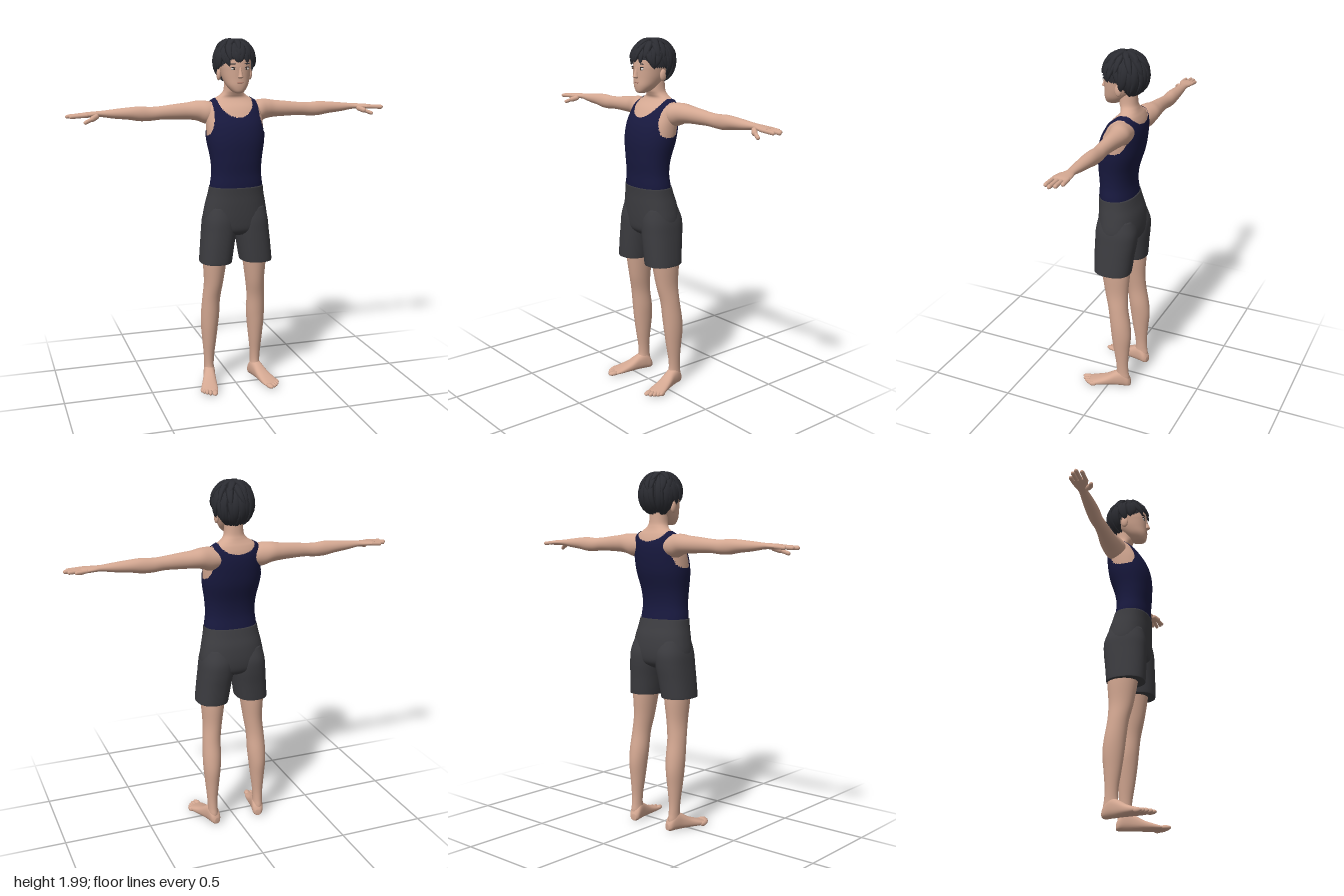
import * as THREE from 'three';

const mat = (name, color, side = THREE.FrontSide) => {
  const m = new THREE.MeshStandardMaterial({ color, side });
  m.name = name;
  return m;
};

// Smooth skin through rings [t, aMin, aMax, bMin, bMax] along axis k (0 x, 1 y, 2 z);
// a and b are the next two axes in cyclic order. keep(x, y, z) can drop faces.
function loft(k, rings, { n = 32, sub = 5, p = 2, keep = null } = {}) {
  const rows = (rings.length - 1) * sub, pos = [], idx = [];
  const point = (t, a, b) => {
    const v = [0, 0, 0];
    v[k] = t; v[(k + 1) % 3] = a; v[(k + 2) % 3] = b;
    pos.push(...v);
  };
  const pow = c => Math.sign(c) * Math.abs(c) ** (2 / p);
  const at = i => rings[Math.max(0, Math.min(rings.length - 1, i))];
  const sample = row => {
    const i = Math.min(Math.floor(row / sub), rings.length - 2), u = row / sub - i;
    return rings[0].map((_, c) => {
      const [p0, p1, p2, p3] = [-1, 0, 1, 2].map(d => at(i + d)[c]);
      return p1 + 0.5 * u * (p2 - p0 + u * (2 * p0 - 5 * p1 + 4 * p2 - p3 + u * (3 * (p1 - p2) + p3 - p0)));
    });
  };
  for (let r = 0; r <= rows; r++) {
    const [t, a0, a1, b0, b1] = sample(r);
    for (let j = 0; j < n; j++) {
      const g = j / n * Math.PI * 2;
      point(t, (a0 + a1) / 2 + (a1 - a0) / 2 * pow(Math.cos(g)), (b0 + b1) / 2 + (b1 - b0) / 2 * pow(Math.sin(g)));
    }
  }
  for (let r = 0; r < rows; r++) for (let j = 0; j < n; j++) {
    const a = r * n + j, b = r * n + (j + 1) % n;
    idx.push(a, b, b + n, a, b + n, a + n);
  }
  for (const r of [0, rows]) {
    const [t, a0, a1, b0, b1] = sample(r), c = pos.length / 3;
    point(t, (a0 + a1) / 2, (b0 + b1) / 2);
    for (let j = 0; j < n; j++) {
      const a = r * n + j, b = r * n + (j + 1) % n;
      idx.push(c, ...(r ? [a, b] : [b, a]));
    }
  }
  const geo = new THREE.BufferGeometry();
  geo.setAttribute('position', new THREE.Float32BufferAttribute(pos, 3));
  geo.setIndex(idx);
  geo.computeVertexNormals();
  return keep ? filterFaces(geo, keep) : geo;
}

function filterFaces(geo, keep) {
  const P = geo.attributes.position, old = geo.index.array, out = [];
  for (let i = 0; i < old.length; i += 3) {
    const f = [old[i], old[i + 1], old[i + 2]];
    const mid = g => f.reduce((s, v) => s + P['get' + g](v), 0) / 3;
    if (keep(mid('X'), mid('Y'), mid('Z'))) out.push(...f);
  }
  geo.setIndex(out);
  return geo;
}

const sym = rows => rows.map(([y, z0, z1, w]) => [y, z0, z1, -w, w]);
const blob = (x, y, z, rx, ry, rz) => new THREE.SphereGeometry(1, 16, 12).scale(rx, ry, rz).translate(x, y, z);
const step = (a, b, x) => THREE.MathUtils.smoothstep(x, a, b);

// Rounded rod between two points
function rod(p0, p1, r) {
  const a = new THREE.Vector3(...p0), d = new THREE.Vector3(...p1).sub(a), len = d.length();
  const q = new THREE.Quaternion().setFromUnitVectors(new THREE.Vector3(0, 1, 0), d.clone().normalize());
  return new THREE.CapsuleGeometry(r, len - 2 * r, 5, 10).applyQuaternion(q)
    .translate(...a.addScaledVector(d, 0.5).toArray());
}

// Scalp ellipsoid addressed by azimuth (0 = front) and polar angle
const scalp = (az, po, k = 1) => new THREE.Vector3(
  0.107 * k * Math.sin(po) * Math.sin(az), 1.865 + 0.118 * k * Math.cos(po), -0.032 + 0.12 * k * Math.sin(po) * Math.cos(az));
const hairline = az => {
  const a = Math.abs(Math.atan2(Math.sin(az), Math.cos(az)));
  return 1.45 + 0.35 * step(0.5, 1.2, a) + 0.8 * step(1.5, 2.2, a);
};

// Flat pointed lock of hair lying over the scalp
function lock(az, po0, po1, drift, width, lift) {
  const pos = [], idx = [], rows = 8, n = 6;
  for (let i = 0; i <= rows; i++) {
    const u = i / rows, po = po0 + (po1 - po0) * u, a = az + drift * u * u, k = 1.01 + lift * u;
    const c = scalp(a, po, k), out = scalp(a, po, 2).sub(scalp(a, po)).normalize();
    const down = scalp(a, po + 0.01, k).sub(c).normalize();
    const side = new THREE.Vector3().crossVectors(out, down).normalize();
    const w = width * Math.sqrt(Math.max(0, 1 - u ** 2.2)) * (0.5 + 0.5 * Math.min(1, u * 3));
    for (let j = 0; j < n; j++) {
      const g = j / n * Math.PI * 2;
      pos.push(...c.clone().addScaledVector(side, w * Math.cos(g)).addScaledVector(out, w * 0.4 * Math.sin(g)).toArray());
      const p = i * n + j, q = i * n + (j + 1) % n;
      if (i < rows) idx.push(p, q + n, q, p, p + n, q + n);
    }
  }
  const geo = new THREE.BufferGeometry();
  geo.setAttribute('position', new THREE.Float32BufferAttribute(pos, 3));
  geo.setIndex(idx);
  geo.computeVertexNormals();
  return geo;
}

export function createModel() {
  const model = new THREE.Group();
  const skin = mat('skin', 0xd4a892), navy = mat('navy cloth', 0x18193f, THREE.DoubleSide);
  const grey = mat('grey cloth', 0x3c3c40), hair = mat('hair', 0x2b2c32, THREE.DoubleSide);
  const white = mat('eye white', 0xd8cfc8), brown = mat('iris', 0x4a362c), lip = mat('lips', 0xb07c6c);
  const add = (name, geo, m) => {
    const mesh = new THREE.Mesh(geo, m);
    mesh.name = name;
    model.add(mesh);
  };
  const pair = (name, geo, m) => {
    add(name + 'Left', geo, m);
    const g = geo.clone().scale(-1, 1, 1), i = g.index.array;
    for (let f = 0; f < i.length; f += 3) [i[f], i[f + 1]] = [i[f + 1], i[f]];
    add(name + 'Right', g, m);
  };

  // Torso and neck: y, back z, front z, half width
  const torso = [[1.08, -0.1, 0.08, 0.135], [1.18, -0.09, 0.094, 0.143], [1.26, -0.082, 0.095, 0.135],
    [1.34, -0.092, 0.101, 0.14], [1.44, -0.122, 0.102, 0.157], [1.52, -0.135, 0.086, 0.16],
    [1.58, -0.138, 0.055, 0.157], [1.62, -0.133, 0.028, 0.149], [1.65, -0.123, -0.004, 0.126],
    [1.67, -0.113, -0.017, 0.093], [1.69, -0.105, -0.01, 0.065], [1.72, -0.098, 0, 0.052], [1.8, -0.095, 0, 0.05]];
  add('torso', loft(1, sym(torso), { n: 48, p: 2.2 }), skin);

  // Tank top: the torso grown slightly, with neckline and armholes left open
  const grown = torso.map(([y, b, f, w]) => [y, b - 0.006, f + 0.006, w + 0.006]);
  add('tankTop', loft(1, sym(grown), { n: 128, sub: 9, p: 2.2, keep: (x, y, z) => {
    const u = Math.min(1, Math.abs(x) / 0.1), dip = z > -0.06 ? 0.1 : 0.055;
    const arm = 0.168 - 0.04 * Math.sqrt(Math.min(1, Math.max(0, (y - 1.47) / 0.1)));
    return y > 1.165 && y < 1.668 - dip * Math.sqrt(1 - u * u) && (y < 1.47 || Math.abs(x) < arm);
  } }), navy);

  // Shorts
  add('shortsHips', loft(1, sym([[0.91, -0.08, 0.06, 0.12], [0.94, -0.125, 0.09, 0.17], [1, -0.137, 0.099, 0.184],
    [1.08, -0.13, 0.102, 0.172], [1.14, -0.112, 0.102, 0.159], [1.185, -0.099, 0.104, 0.152]]), { n: 48, p: 2.3 }), grey);
  pair('shortsLeg', loft(1, [[0.75, -0.113, 0.095, 0.03, 0.206], [0.76, -0.116, 0.098, 0.027, 0.208],
    [0.85, -0.126, 0.1, 0.013, 0.2], [0.93, -0.137, 0.1, 0, 0.192], [1, -0.138, 0.098, -0.004, 0.184],
    [1.07, -0.115, 0.085, 0, 0.165]], { p: 2.3 }), grey);

  // Legs: y, back z, front z, inner x, outer x
  pair('leg', loft(1, [[0.02, -0.118, -0.04, 0.115, 0.165], [0.06, -0.121, -0.032, 0.111, 0.17],
    [0.1, -0.115, -0.043, 0.114, 0.169], [0.16, -0.113, -0.04, 0.112, 0.172], [0.25, -0.12, -0.025, 0.102, 0.18],
    [0.34, -0.128, -0.012, 0.092, 0.188], [0.42, -0.122, -0.003, 0.085, 0.19], [0.52, -0.106, 0.01, 0.083, 0.185],
    [0.62, -0.102, 0.034, 0.07, 0.178], [0.74, -0.11, 0.055, 0.053, 0.184], [0.85, -0.11, 0.07, 0.04, 0.185]]), skin);

  // Feet, turned outward
  const place = g => g.rotateY(0.25).translate(0.14, 0, -0.08);
  pair('foot', place(loft(2, [[-0.047, -0.016, 0.016, 0.006, 0.04], [-0.032, -0.029, 0.029, 0, 0.07],
    [0, -0.033, 0.033, 0, 0.105], [0.045, -0.035, 0.034, 0, 0.09], [0.1, -0.041, 0.041, 0, 0.058],
    [0.16, -0.047, 0.049, 0, 0.036], [0.195, -0.045, 0.046, 0.002, 0.025], [0.205, -0.035, 0.03, 0.006, 0.018]], { p: 2.4 })), skin);
  [[-0.029, 0.215, 0.017, 0.032], [-0.004, 0.213, 0.011, 0.027], [0.015, 0.203, 0.011, 0.025],
    [0.031, 0.19, 0.01, 0.024], [0.044, 0.175, 0.009, 0.022]].forEach(([x, z, r, l], i) =>
    pair('toe' + (i + 1), place(blob(x, 0.013, z, r, 0.013, l)), skin));

  // Arms and palms: x, bottom y, top y, back z, front z
  pair('arm', loft(0, [[0.09, 1.53, 1.64, -0.125, -0.01], [0.15, 1.525, 1.652, -0.135, -0.006],
    [0.2, 1.543, 1.653, -0.141, -0.024], [0.25, 1.55, 1.645, -0.136, -0.038], [0.32, 1.553, 1.638, -0.126, -0.045],
    [0.4, 1.555, 1.629, -0.12, -0.05], [0.46, 1.55, 1.626, -0.122, -0.053], [0.52, 1.55, 1.63, -0.122, -0.05],
    [0.58, 1.56, 1.627, -0.12, -0.05], [0.66, 1.569, 1.62, -0.112, -0.054], [0.73, 1.58, 1.613, -0.106, -0.059],
    [0.77, 1.581, 1.611, -0.113, -0.045], [0.815, 1.58, 1.608, -0.117, -0.029], [0.838, 1.585, 1.603, -0.11, -0.035]]), skin);
  [[-0.108, 0.872], [-0.086, 0.905], [-0.063, 0.922], [-0.036, 0.905]].forEach(([z, x], i) =>
    pair('finger' + (i + 1), rod([0.8, 1.595, z * 0.92 - 0.007], [x, 1.589, z], 0.0105), skin));
  pair('thumb', rod([0.75, 1.591, -0.055], [0.795, 1.572, -0.018], 0.015), skin);
  pair('thumbTip', rod([0.78, 1.578, -0.03], [0.832, 1.557, -0.005], 0.0105), skin);

  // Head and face
  add('head', loft(1, sym([[1.7, 0.03, 0.066, 0.015], [1.71, -0.002, 0.079, 0.034], [1.74, -0.045, 0.085, 0.058],
    [1.78, -0.09, 0.085, 0.073], [1.82, -0.115, 0.086, 0.081], [1.85, -0.128, 0.086, 0.085], [1.9, -0.13, 0.078, 0.085],
    [1.945, -0.105, 0.045, 0.066], [1.965, -0.06, 0, 0.03]]), { p: 2.2 }), skin);
  add('nose', loft(1, sym([[1.78, 0.07, 0.088, 0.008], [1.788, 0.07, 0.106, 0.014], [1.8, 0.07, 0.102, 0.011],
    [1.83, 0.07, 0.091, 0.007], [1.845, 0.07, 0.086, 0.005]]), { n: 16 }), skin);
  pair('ear', blob(0.089, 1.797, -0.028, 0.012, 0.032, 0.02).rotateZ(0), skin);
  pair('eye', blob(0.035, 1.832, 0.077, 0.016, 0.007, 0.006), white);
  pair('iris', blob(0.034, 1.832, 0.0805, 0.006, 0.0065, 0.004), brown);
  pair('eyelash', blob(0.036, 1.84, 0.077, 0.018, 0.0025, 0.007), hair);
  pair('eyebrow', blob(0.036, 1.858, 0.077, 0.02, 0.003, 0.006), hair);
  add('mouth', blob(0, 1.758, 0.083, 0.02, 0.004, 0.005), lip);

  // Hair: a cap cut at the hairline, covered with layered locks
  const cap = new THREE.SphereGeometry(1, 64, 48).scale(0.107, 0.118, 0.12).translate(0, 1.865, -0.032);
  add('hairCap', filterFaces(cap, (x, y, z) =>
    Math.acos(THREE.MathUtils.clamp((y - 1.865) / 0.118, -1, 1)) < hairline(Math.atan2(x / 0.107, (z + 0.032) / 0.12))), hair);
  let seed = 7;
  const rnd = () => (seed = (seed * 16807) % 2147483647) / 2147483647;
  const layers = [[0.08, 8, () => 0.95, 0.1], [0.4, 13, () => 1.4, 0.09],
    [0.75, 17, az => hairline(az) - 0.15, 0.07], [0.95, 22, az => hairline(az) + 0.12, 0.05]];
  layers.forEach(([start, count, end, lift], l) => {
    for (let i = 0; i < count; i++) {
      const az = (i + 0.6 * rnd()) / count * Math.PI * 2;
      add(`hairLock${l + 1}_${i + 1}`, lock(az, start, end(az) + 0.2 * (rnd() - 0.5), 0.5 * (rnd() - 0.4),
        0.019 + 0.008 * rnd(), lift * (0.5 + 0.7 * rnd())), hair);
    }
  });
  return model;
}
